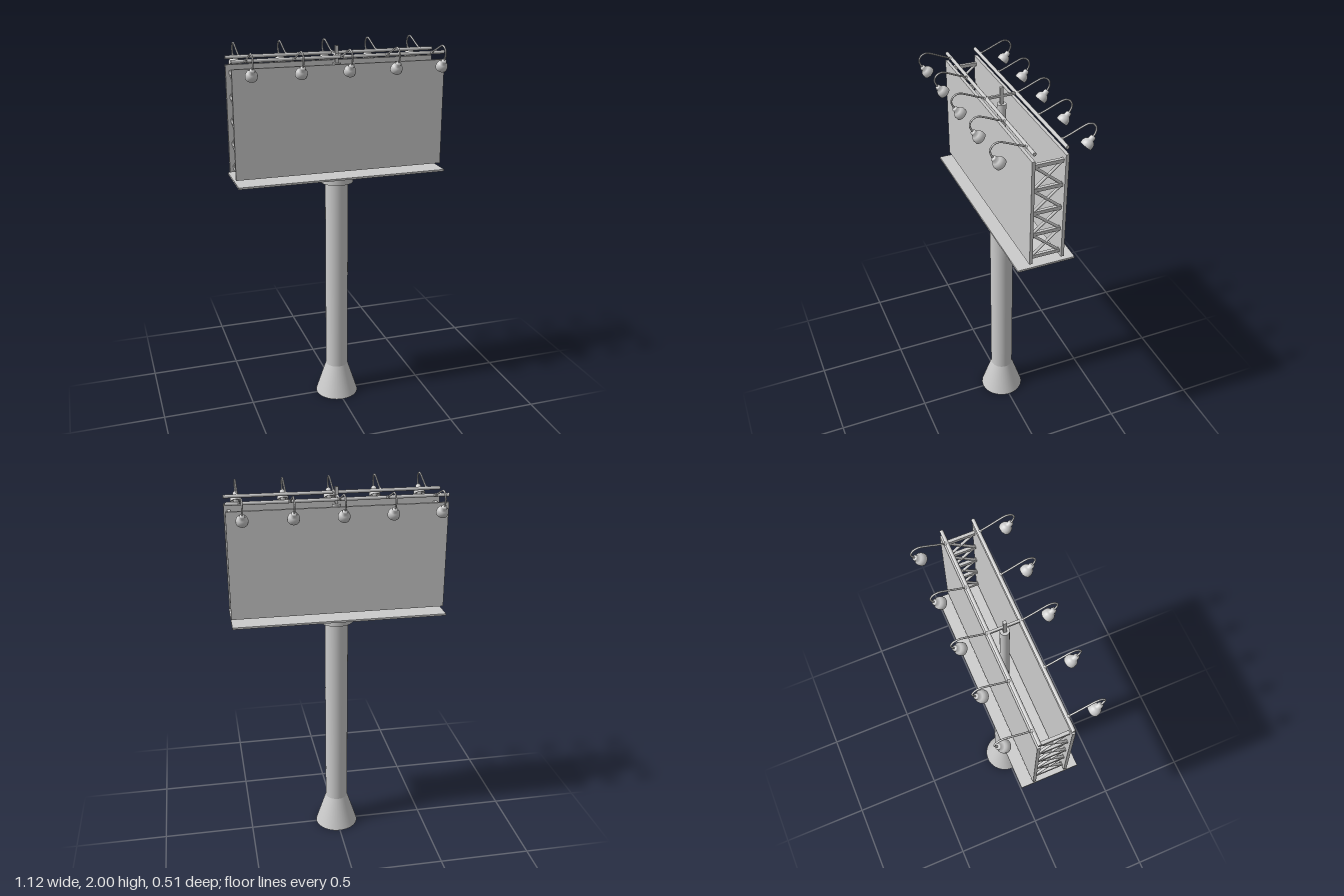
import * as THREE from 'three';

const mat = new THREE.MeshStandardMaterial({ color: 0xcccccc });
const matDouble = new THREE.MeshStandardMaterial({ color: 0xcccccc, side: THREE.DoubleSide });

function add(parent, name, geometry, x = 0, y = 0, z = 0, material = mat) {
  const mesh = new THREE.Mesh(geometry, material);
  mesh.name = name;
  mesh.position.set(x, y, z);
  parent.add(mesh);
  return mesh;
}

// Round bar between two points
function bar(parent, name, a, b, r, sides = 8) {
  const dir = b.clone().sub(a);
  const mesh = add(parent, name, new THREE.CylinderGeometry(r, r, dir.length(), sides));
  mesh.position.copy(a).addScaledVector(dir, 0.5);
  mesh.quaternion.setFromUnitVectors(new THREE.Vector3(0, 1, 0), dir.normalize());
  return mesh;
}

const v = (x, y, z) => new THREE.Vector3(x, y, z);

// Gooseneck lamp reaching out toward +z, with a shade aimed back at the panel
function makeLamp() {
  const lamp = new THREE.Group();
  lamp.name = 'lamp';
  const path = new THREE.CatmullRomCurve3([
    v(0, 1.943, 0.08), v(0, 1.962, 0.13), v(0, 1.983, 0.18), v(0, 1.993, 0.213),
    v(0, 1.984, 0.24), v(0, 1.96, 0.253), v(0, 1.938, 0.248), v(0, 1.92, 0.236),
  ]);
  add(lamp, 'lampArm', new THREE.TubeGeometry(path, 32, 0.0045, 8));
  add(lamp, 'armMount', new THREE.SphereGeometry(0.009, 12, 8), 0, 1.943, 0.084);

  const head = new THREE.Group();
  head.name = 'lampHead';
  const profile = [
    [0, 0.006], [0.011, 0.004], [0.014, -0.002], [0.014, -0.014], [0.021, -0.019],
    [0.027, -0.027], [0.03, -0.037], [0.03, -0.052], [0.027, -0.052], [0.026, -0.044], [0, -0.044],
  ].map(([r, y]) => new THREE.Vector2(r, y));
  add(head, 'shade', new THREE.LatheGeometry(profile, 24), 0, 0, 0, matDouble);
  add(head, 'bulb', new THREE.SphereGeometry(0.014, 16, 10), 0, -0.042, 0);
  head.position.set(0, 1.921, 0.238);
  head.rotation.x = 0.72;
  lamp.add(head);
  return lamp;
}

export function createModel() {
  const model = new THREE.Group();
  model.name = 'billboard';

  // Pole on a flared foot, with a collar under the platform
  add(model, 'flaredFoot', new THREE.CylinderGeometry(0.062, 0.12, 0.18, 40), 0, 0.09, 0);
  add(model, 'pole', new THREE.CylinderGeometry(0.062, 0.062, 1.1, 40), 0, 0.73, 0);
  add(model, 'collar', new THREE.CylinderGeometry(0.088, 0.088, 0.048, 40), 0, 1.296, 0);
  add(model, 'platform', new THREE.BoxGeometry(1.116, 0.01, 0.295), 0, 1.324, 0);

  // Core column and the thin mast above it
  add(model, 'coreColumn', new THREE.CylinderGeometry(0.023, 0.023, 0.572, 24), 0, 1.614, 0);
  add(model, 'topMast', new THREE.BoxGeometry(0.016, 0.09, 0.016), 0, 1.942, 0);
  add(model, 'topCrossbar', new THREE.BoxGeometry(0.012, 0.012, 0.156), 0, 1.942, 0);

  // Two display panels, their lamp rails and lamps
  for (const s of [1, -1]) {
    const side = new THREE.Group();
    side.name = s > 0 ? 'frontSide' : 'backSide';
    add(side, 'panel', new THREE.BoxGeometry(1.116, 0.555, 0.016), 0, 1.627, 0.081);
    bar(side, 'lampRail', v(-0.558, 1.941, 0.078), v(0.558, 1.941, 0.078), 0.009, 12);
    for (let i = -2; i <= 2; i++) {
      const lamp = makeLamp();
      lamp.position.x = i * 0.2435;
      side.add(lamp);
    }
    if (s < 0) side.rotation.y = Math.PI;
    model.add(side);
  }

  // Cross-braced lattice closing each end
  const levels = [1.375, 1.502, 1.62, 1.743, 1.867];
  for (const s of [1, -1]) {
    const truss = new THREE.Group();
    truss.name = s > 0 ? 'leftTruss' : 'rightTruss';
    const x = s * 0.533;
    levels.forEach((y, i) => {
      add(truss, 'trussRung', new THREE.BoxGeometry(0.016, 0.018, 0.15), x, y, 0);
      if (i === 0) return;
      for (const d of [1, -1]) {
        bar(truss, 'trussBrace', v(x, levels[i - 1], -0.073 * d), v(x, y, 0.073 * d), 0.007);
      }
    });
    model.add(truss);
  }
  return model;
}
